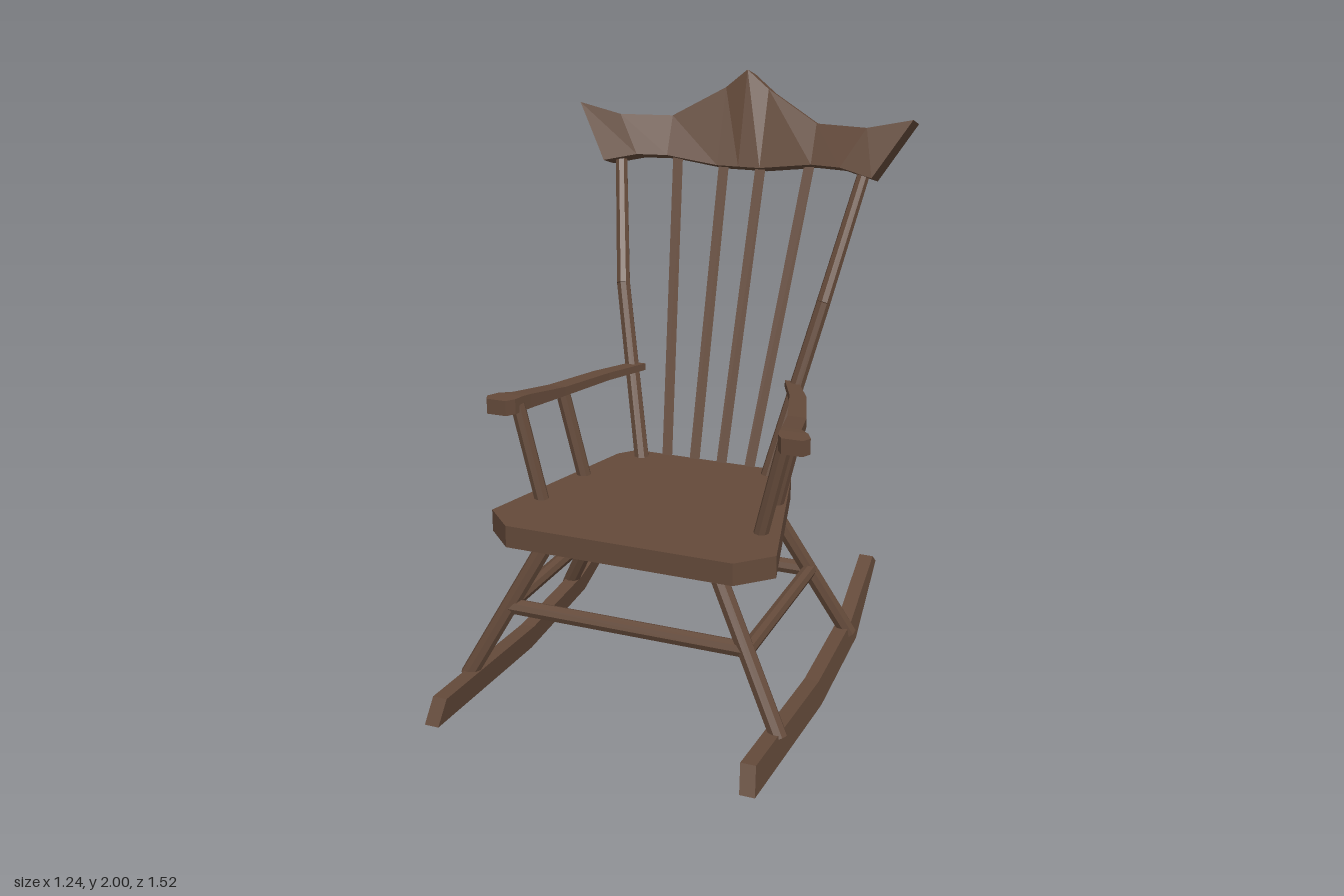
import * as THREE from 'three';

const wood = new THREE.MeshStandardMaterial({ color: 0x644a3a, flatShading: true });
wood.name = 'brownWood';
const woodThin = wood.clone();
woodThin.name = 'brownWoodThin';
woodThin.side = THREE.DoubleSide;

const V = (x, y, z) => new THREE.Vector3(x, y, z);

function add(parent, name, geometry, material = wood) {
  const mesh = new THREE.Mesh(geometry, material);
  mesh.name = name;
  parent.add(mesh);
  return mesh;
}

// Turned rod between two points
function rod(parent, name, a, b, rA, rB = rA) {
  const d = b.clone().sub(a);
  const mesh = add(parent, name, new THREE.CylinderGeometry(rB, rA, d.length(), 8));
  mesh.position.copy(a).addScaledVector(d, 0.5);
  mesh.quaternion.setFromUnitVectors(V(0, 1, 0), d.normalize());
}

// Closed solid through four-cornered cross-sections
function loft(sections) {
  const pos = [], idx = [];
  sections.forEach(s => s.forEach(p => pos.push(...p)));
  const quad = (a, b, c, d) => idx.push(a, b, c, a, c, d);
  const last = (sections.length - 1) * 4;
  for (let i = 0; i < last; i += 4)
    for (let k = 0; k < 4; k++) {
      const n = (k + 1) % 4;
      quad(i + k, i + n, i + 4 + n, i + 4 + k);
    }
  quad(3, 2, 1, 0);
  quad(last, last + 1, last + 2, last + 3);
  const g = new THREE.BufferGeometry();
  g.setAttribute('position', new THREE.Float32BufferAttribute(pos, 3));
  g.setIndex(idx);
  const flat = g.toNonIndexed();
  flat.computeVertexNormals();
  return flat;
}

export function createModel() {
  const chair = new THREE.Group();
  chair.name = 'rockingChair';

  // Seat slab with clipped corners
  const half = [[0.39, 0.495], [0.495, 0.39], [0.33, -0.255], [0.28, -0.315]];
  const outline = [...half, ...half.slice().reverse().map(([x, z]) => [-x, z])];
  const seat = new THREE.ExtrudeGeometry(
    new THREE.Shape(outline.map(([x, z]) => new THREE.Vector2(x, -z))),
    { depth: 0.075, bevelEnabled: false });
  add(chair, 'seat', seat.rotateX(-Math.PI / 2).translate(0, 0.58, 0));

  // Crest rail: columns of x top, y top, z top, x bottom, y bottom, z bottom
  const cols = [
    [0, 2.0, -0.672, 0, 1.67, -0.585], [0.08, 1.935, -0.672, 0.08, 1.67, -0.585],
    [0.27, 1.83, -0.635, 0.27, 1.695, -0.58], [0.46, 1.83, -0.6, 0.38, 1.695, -0.56],
    [0.62, 1.865, -0.6, 0.5, 1.67, -0.535]];
  const mirrored = cols.slice(1).reverse().map(([a, b, c, d, e, f]) => [-a, b, c, -d, e, f]);
  add(chair, 'crestRail', loft([...mirrored, ...cols].map(([xt, yt, zt, xb, yb, zb]) => [
    [xb, yb, zb], [xt, yt, zt], [xt, yt - 0.025, zt - 0.085], [xb, yb - 0.025, zb - 0.085],
  ].reverse())));

  // Flat back spindles
  for (const [xb, xt] of [[-0.15, -0.25], [-0.05, -0.07], [0.05, 0.07], [0.15, 0.25]]) {
    const g = new THREE.PlaneGeometry(0.038, 1);
    const p = g.attributes.position;
    for (let i = 0; i < 4; i++) {
      const top = p.getY(i) > 0;
      p.setXYZ(i, p.getX(i) + (top ? xt : xb), top ? 1.7 : 0.567, top ? -0.638 : -0.28);
    }
    g.computeVertexNormals();
    add(chair, 'backSpindle', g, woodThin);
  }

  for (const s of [1, -1]) {
    const side = new THREE.Group();
    side.name = s > 0 ? 'leftSide' : 'rightSide';
    chair.add(side);
    const P = (x, y, z) => V(s * x, y, z);
    const mirror = sec => (s > 0 ? sec : sec.map(q => q.map(([x, y, z]) => [-x, y, z]).reverse()));

    // Bent back post
    rod(side, 'lowerBackPost', P(0.235, 0.62, -0.26), P(0.377, 1.25, -0.425), 0.027, 0.025);
    rod(side, 'upperBackPost', P(0.377, 1.25, -0.425), P(0.465, 1.72, -0.615), 0.025, 0.022);

    // Armrest: z, inner x, outer x, bottom y, top y
    const arm = [
      [-0.36, 0.265, 0.315, 0.95, 0.975], [-0.2, 0.335, 0.395, 0.95, 0.977],
      [0.02, 0.4, 0.465, 0.95, 0.982], [0.2, 0.44, 0.505, 0.957, 1.006],
      [0.24, 0.447, 0.54, 0.958, 1.01], [0.28, 0.455, 0.56, 0.958, 1.01],
      [0.31, 0.475, 0.545, 0.958, 1.01]];
    add(side, 'armrest', loft(mirror(arm.map(([z, a, b, y0, y1]) =>
      [[a, y0, z], [b, y0, z], [b, y1, z], [a, y1, z]]))));

    // Arm supports
    rod(side, 'frontArmSupport', P(0.385, 0.63, 0.235), P(0.468, 0.98, 0.24), 0.025);
    rod(side, 'rearArmSupport', P(0.35, 0.63, -0.022), P(0.43, 0.965, -0.013), 0.025);

    // Splayed legs and side stretcher
    rod(side, 'frontLeg', P(0.28, 0.6, 0.38), P(0.55, 0.09, 0.495), 0.029);
    rod(side, 'rearLeg', P(0.28, 0.6, -0.15), P(0.55, 0.09, -0.28), 0.029);
    rod(side, 'sideStretcher', P(0.42, 0.342, 0.438), P(0.42, 0.342, -0.213), 0.025);

    // Rocker runner leaning inward: bottom z, bottom y, top z, top y
    const runner = [
      [-0.66, 0.21, -0.63, 0.24], [-0.335, 0.048, -0.29, 0.122],
      [0.1, 0.005, 0.1, 0.09], [0.76, 0.035, 0.72, 0.12]];
    const lean = y => -0.14 * y;
    add(side, 'rocker', loft(mirror(runner.map(([zb, yb, zt, yt]) => [
      [0.52 + lean(yb), yb, zb], [0.57 + lean(yb), yb, zb],
      [0.57 + lean(yt), yt, zt], [0.52 + lean(yt), yt, zt]]))));
  }

  // Cross stretchers between the legs
  for (const z of [0.437, -0.215])
    rod(chair, 'crossStretcher', V(-0.415, 0.342, z), V(0.415, 0.342, z), 0.027);

  return chair;
}
